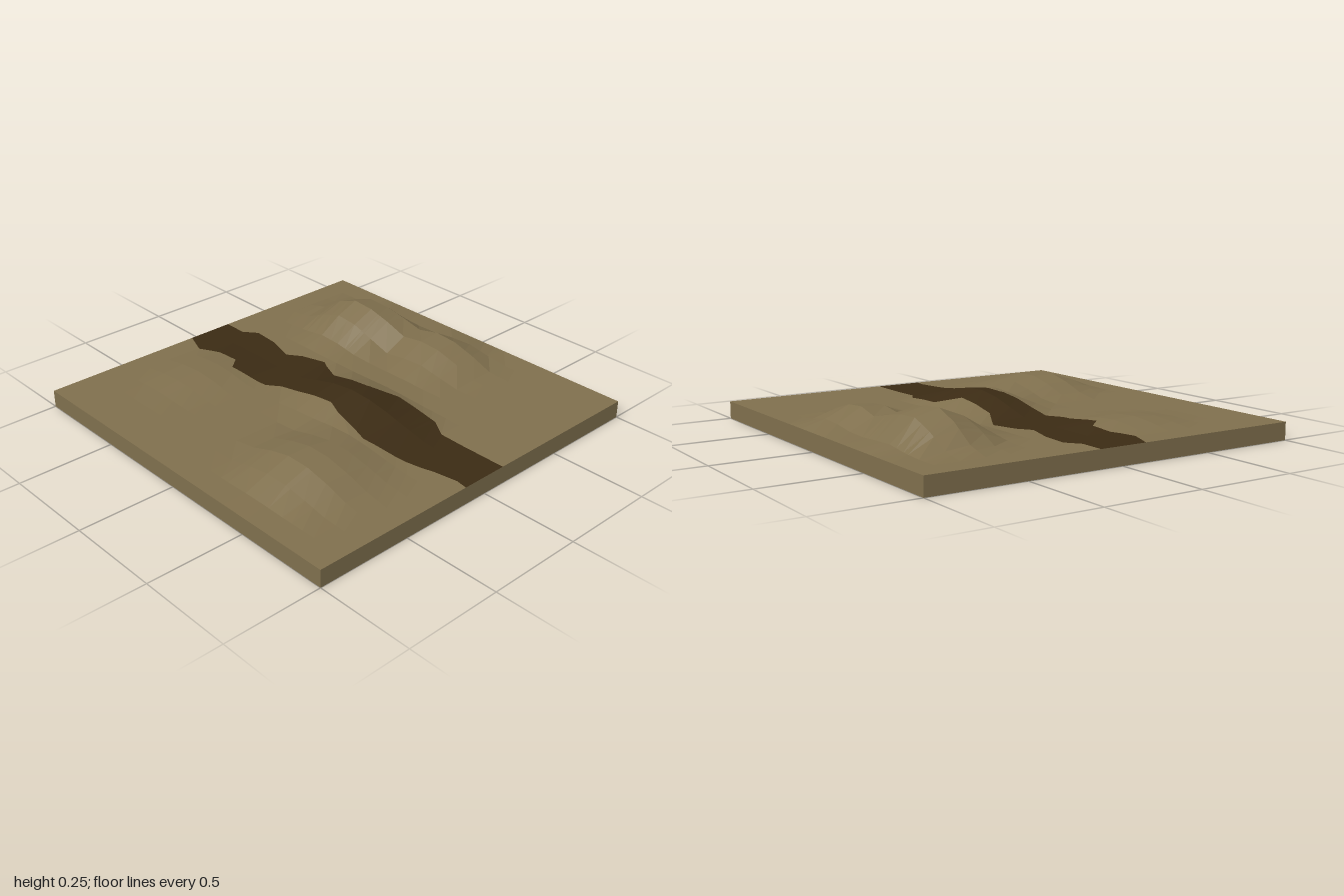
import * as THREE from 'three';

const CELL = 0.125, THICK = 0.09;

// Hills: x, z, height, then radii toward -x, +x, -z, +z
const hills = [
  [0.66, -0.47, 0.16, 0.38, 0.27, 0.38, 0.42],
  [0.70, -0.16, 0.05, 0.28, 0.25, 0.28, 0.28],
  [0.71, 0.08, 0.098, 0.36, 0.26, 0.28, 0.36],
  [0.00, 0.15, 0.09, 0.36, 0.30, 0.48, 0.58],
  [-0.58, 0.43, 0.096, 0.33, 0.52, 0.42, 0.46],
  [-0.35, -0.62, 0.035, 0.38, 0.35, 0.30, 0.33],
];

// Road edges as [z, x]
const leftEdge = [[-1, -0.13], [-0.87, -0.18], [-0.75, -0.13], [-0.62, -0.13], [-0.56, -0.2],
  [-0.32, -0.18], [-0.25, -0.13], [0.12, -0.13], [0.2, -0.16], [0.44, -0.22], [0.68, -0.18],
  [0.82, -0.14], [0.94, -0.12], [1, -0.13]];
const rightEdge = [[-1, 0.12], [-0.87, 0.12], [-0.8, 0.175], [-0.66, 0.165], [-0.5, 0.12],
  [-0.43, 0.17], [-0.3, 0.21], [-0.13, 0.12], [0.12, 0.12], [0.26, 0.2], [0.53, 0.175],
  [0.62, 0.12], [1, 0.12]];

function hillHeight(x, z) {
  if (Math.abs(x) > 0.99 || Math.abs(z) > 0.99) return 0;
  let sum = 0;
  for (const [cx, cz, h, rl, rr, rb, rf] of hills) {
    const dx = (x - cx) / (x < cx ? rl : rr), dz = (z - cz) / (z < cz ? rb : rf);
    sum += h * Math.max(0, 1 - dx * dx - dz * dz) ** 2;
  }
  return sum;
}

// Height between the corners of the coarse grid, so the facets stay low-poly
function height(x, z) {
  const x0 = Math.floor(x / CELL) * CELL, z0 = Math.floor(z / CELL) * CELL;
  const u = (x - x0) / CELL, v = (z - z0) / CELL, { lerp } = THREE.MathUtils;
  return lerp(
    lerp(hillHeight(x0, z0), hillHeight(x0 + CELL, z0), u),
    lerp(hillHeight(x0, z0 + CELL), hillHeight(x0 + CELL, z0 + CELL), u), v);
}

function edgeX(edge, z) {
  const i = Math.max(1, edge.findIndex((p) => p[0] >= z));
  const [a, b] = [edge[i - 1], edge[i]];
  return THREE.MathUtils.lerp(a[1], b[1], (z - a[0]) / (b[0] - a[0]));
}

// Skin a list of rows of points
function sheet(rows, flip = false) {
  const n = rows[0].length, index = [];
  for (let j = 0; j < rows.length - 1; j++) {
    for (let i = 0; i < n - 1; i++) {
      const a = j * n + i, b = a + 1, c = a + n, d = c + 1;
      index.push(...(flip ? [a, b, c, b, d, c] : [a, c, b, b, c, d]));
    }
  }
  const g = new THREE.BufferGeometry();
  g.setAttribute('position', new THREE.Float32BufferAttribute(rows.flat(2), 3));
  g.setIndex(index);
  g.computeVertexNormals();
  return g;
}

export function createModel() {
  const group = new THREE.Group();
  const earth = new THREE.MeshStandardMaterial({ color: 0x7f6f4d, flatShading: true });
  const track = new THREE.MeshStandardMaterial({ color: 0x3b2b14, flatShading: true });
  const add = (name, geometry, material) => {
    const mesh = new THREE.Mesh(geometry, material);
    mesh.name = name;
    group.add(mesh);
  };

  const grid = Array.from({ length: 17 }, (_, i) => -1 + i * CELL);
  const zs = [...new Set([...grid, ...leftEdge.map((p) => p[0]), ...rightEdge.map((p) => p[0])])]
    .sort((a, b) => a - b);
  const topPoint = (x, z) => [x, THICK + height(x, z), z];
  const surface = (columns) => sheet(zs.map((z) => columns(z).map((x) => topPoint(x, z))));

  // Ground on both sides of the road, and the road between
  add('leftGround', surface((z) => [edgeX(rightEdge, z), ...grid.filter((x) => x > 0.2)]), earth);
  add('rightGround', surface((z) => [...grid.filter((x) => x < -0.2), edgeX(leftEdge, z)]), earth);
  add('road', surface((z) => [edgeX(leftEdge, z), 0, edgeX(rightEdge, z)]), track);

  // Underside follows the hills
  add('underside', sheet(grid.map((z) => grid.map((x) => [x, height(x, z), z])), true), earth);

  // Four straight side walls
  for (let k = 0; k < 4; k++) {
    const wall = new THREE.PlaneGeometry(2, THICK);
    wall.translate(0, THICK / 2, 1).rotateY(k * Math.PI / 2);
    add(['frontWall', 'leftWall', 'backWall', 'rightWall'][k], wall, earth);
  }
  return group;
}
